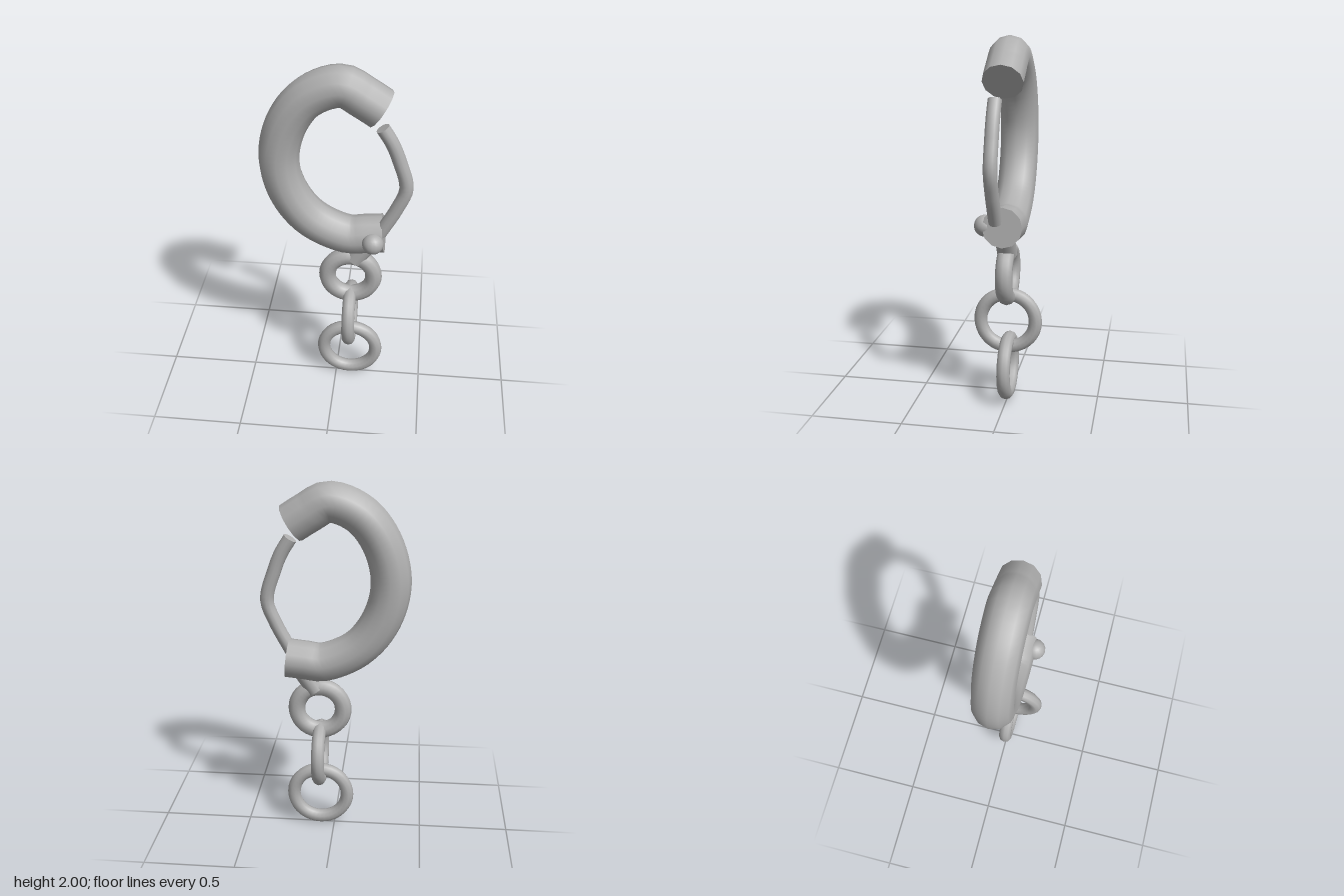
import * as THREE from 'three';

const steel = new THREE.MeshStandardMaterial({ color: 0xb0b0b0 });
steel.name = 'steel';

export function createModel() {
  const model = new THREE.Group();
  model.name = 'hoopEarring';

  const add = (name, geometry, x = 0, y = 0, z = 0) => {
    const mesh = new THREE.Mesh(geometry, steel);
    mesh.name = name;
    mesh.position.set(x, y, z);
    model.add(mesh);
    return mesh;
  };

  // Round bar swept along a path in the xy plane, closed by a flat disc at each end
  const bar = (name, points, z, radius, steps, sides) => {
    const curve = new THREE.CatmullRomCurve3(points.map(([x, y]) => new THREE.Vector3(x, y, z)));
    add(name, new THREE.TubeGeometry(curve, steps, radius, sides));
    for (const t of [0, 1]) {
      const p = curve.getPointAt(t);
      const out = curve.getTangentAt(t).multiplyScalar(t ? 1 : -1);
      const cap = add(name + (t ? 'BottomCap' : 'TopCap'), new THREE.CircleGeometry(radius, sides), p.x, p.y, p.z);
      cap.lookAt(p.clone().add(out));
    }
  };

  // Thick open hoop
  bar('hoop', [
    [0.225, 1.78], [0.135, 1.838], [0.03, 1.893], [-0.13, 1.835], [-0.245, 1.69], [-0.298, 1.48],
    [-0.255, 1.275], [-0.135, 1.11], [0.06, 1.017], [0.16, 1.025], [0.257, 1.035],
  ], 0, 0.107, 48, 12);

  // Thin hinged ear wire, set slightly forward
  bar('earWire', [
    [0.235, 1.692], [0.285, 1.61], [0.325, 1.51], [0.367, 1.35], [0.325, 1.225], [0.24, 1.06],
  ], 0.038, 0.037, 24, 12);

  // Hinge ball on the front of the hoop
  add('hingeBall', new THREE.SphereGeometry(0.058, 16, 12), 0.205, 1.03, 0.1);

  // Slanted stem that carries the chain
  const top = new THREE.Vector3(0.2, 1.0, 0);
  const bottom = new THREE.Vector3(0.1, 0.85, 0);
  const axis = top.clone().sub(bottom);
  const mid = top.clone().add(bottom).multiplyScalar(0.5);
  const stem = add('chainStem', new THREE.CylinderGeometry(0.055, 0.055, axis.length(), 12), mid.x, mid.y, 0);
  stem.quaternion.setFromUnitVectors(new THREE.Vector3(0, 1, 0), axis.normalize());

  // Interlocked chain links, the middle one turned sideways
  const links = [
    ['upperLink', 0.735, 0.13, 0.047, 0],
    ['middleLink', 0.46, 0.153, 0.037, Math.PI / 2],
    ['lowerLink', 0.192, 0.154, 0.037, 0],
  ];
  for (const [name, y, ring, tube, turn] of links) {
    add(name, new THREE.TorusGeometry(ring, tube, 10, 36), 0.08, y, 0).rotation.y = turn;
  }

  return model;
}
